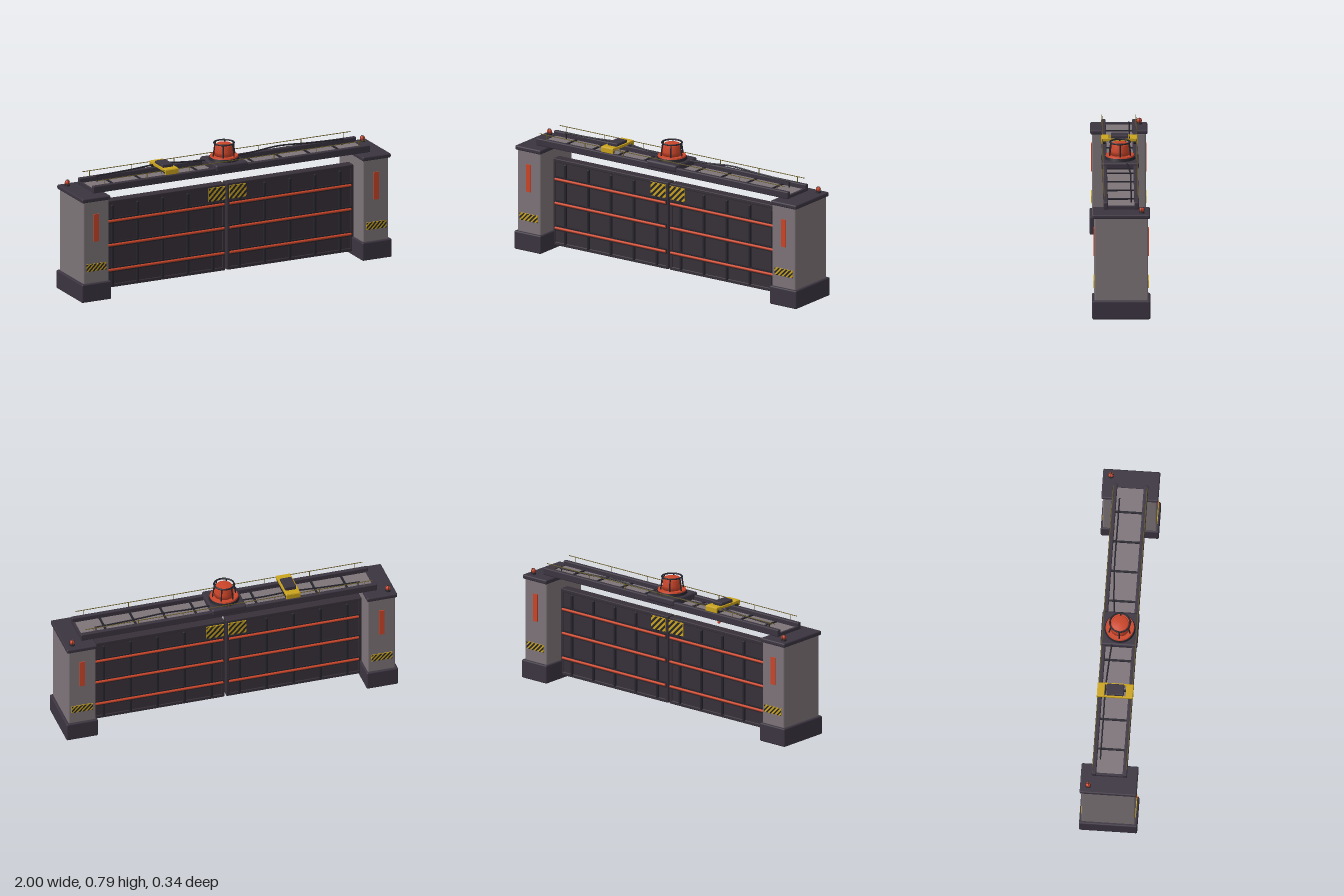
import * as THREE from 'three';
import { RoundedBoxGeometry } from 'three/addons/geometries/RoundedBoxGeometry.js';

const mat = (name, color, extra = {}) => Object.assign(new THREE.MeshStandardMaterial({ color, ...extra }), { name });
const M = {
  dark: mat('dark plum', 0x3b3440),
  panel: mat('gate plum', 0x373039),
  black: mat('trim black', 0x26242c),
  grey: mat('warm grey', 0x7d7478),
  orange: mat('signal orange', 0xcc4529),
  yellow: mat('safety yellow', 0xcba41c),
  olive: mat('rail olive', 0x6a5c24),
};

function add(parent, name, geo, material, x = 0, y = 0, z = 0) {
  const m = new THREE.Mesh(geo, material);
  m.name = name;
  m.position.set(x, y, z);
  parent.add(m);
  return m;
}
const box = (p, name, mt, w, h, d, x, y, z) => add(p, name, new THREE.BoxGeometry(w, h, d), mt, x, y, z);
const rbox = (p, name, mt, w, h, d, x, y, z, r = 0.008) => add(p, name, new RoundedBoxGeometry(w, h, d, 2, r), mt, x, y, z);
function group(parent, name) {
  const g = new THREE.Group();
  g.name = name;
  parent.add(g);
  return g;
}
// Round bar between two points
function rod(p, name, mt, a, b, r, sides = 8) {
  const A = new THREE.Vector3(...a), B = new THREE.Vector3(...b);
  const m = add(p, name, new THREE.CylinderGeometry(r, r, A.distanceTo(B), sides), mt);
  m.position.copy(A).add(B).multiplyScalar(0.5);
  m.quaternion.setFromUnitVectors(new THREE.Vector3(0, 1, 0), B.sub(A).normalize());
}

// Part of a w x h rectangle lying in the diagonal band c0 < x - y < c1
function bandShape(w, h, c0, c1) {
  const X = w / 2, Y = h / 2, pts = [];
  for (const [x, y] of [[-X, -Y], [X, -Y], [X, Y], [-X, Y]]) if (x - y > c0 && x - y < c1) pts.push([x, y]);
  for (const c of [c0, c1]) {
    for (const y of [-Y, Y]) if (Math.abs(c + y) <= X) pts.push([c + y, y]);
    for (const x of [-X, X]) if (Math.abs(x - c) <= Y) pts.push([x, x - c]);
  }
  if (pts.length < 3) return null;
  const cx = pts.reduce((s, q) => s + q[0], 0) / pts.length, cy = pts.reduce((s, q) => s + q[1], 0) / pts.length;
  pts.sort((a, b) => Math.atan2(a[1] - cy, a[0] - cx) - Math.atan2(b[1] - cy, b[0] - cx));
  return new THREE.Shape(pts.map((q) => new THREE.Vector2(...q)));
}
// Yellow plate with black diagonal stripes, facing front (side 1) or back (side -1)
function hazardPlate(p, w, h, pitch, x, y, z, side) {
  const g = group(p, 'hazardPlate');
  g.position.set(x, y, z * side);
  if (side < 0) g.rotation.y = Math.PI;
  box(g, 'plate', M.yellow, w, h, 0.006, 0, 0, 0);
  const reach = (w + h) / 2, shapes = [];
  for (let c = -reach; c < reach; c += pitch) {
    const s = bandShape(w, h, c, c + pitch * 0.5);
    if (s) shapes.push(s);
  }
  add(g, 'stripes', new THREE.ShapeGeometry(shapes), M.black, 0, 0, 0.0042);
}

function buildPillar(root, s) {
  const g = group(root, s > 0 ? 'leftPillar' : 'rightPillar');
  rbox(g, 'base', M.dark, 0.19, 0.11, 0.336, s * 0.905, 0.055, 0);
  rbox(g, 'body', M.grey, 0.165, 0.5, 0.31, s * 0.902, 0.355, 0);
  rbox(g, 'cap', M.dark, 0.182, 0.026, 0.33, s * 0.905, 0.612, 0);
  for (const side of [1, -1]) {
    box(g, 'lightStrip', M.orange, 0.032, 0.165, 0.008, s * 0.903, 0.441, side * 0.156);
    hazardPlate(g, 0.128, 0.044, 0.027, s * 0.903, 0.203, 0.156, side);
  }
  // Small warning lamp with a wire guard
  const lamp = group(g, 'warningLamp');
  lamp.position.set(s * 0.952, 0.625, -0.118);
  add(lamp, 'lampFoot', new THREE.CylinderGeometry(0.014, 0.016, 0.008, 16), M.black, 0, 0.004, 0);
  add(lamp, 'lampGlass', new THREE.SphereGeometry(0.0145, 16, 12), M.orange, 0, 0.02, 0);
  for (const a of [0, Math.PI / 2]) {
    add(lamp, 'lampGuard', new THREE.TorusGeometry(0.0148, 0.0015, 6, 24), M.black, 0, 0.02, 0).rotation.y = a;
  }
}

function buildGate(root, s) {
  const g = group(root, s > 0 ? 'leftGate' : 'rightGate');
  box(g, 'panel', M.panel, 0.805, 0.515, 0.05, s * 0.412, 0.283, 0);
  // Frame around the panel
  for (const y of [0.032, 0.535]) rbox(g, 'frameRail', M.panel, 0.815, 0.02, 0.06, s * 0.4135, y, 0, 0.004);
  for (const x of [0.015, 0.812]) rbox(g, 'framePost', M.panel, 0.018, 0.52, 0.06, s * x, 0.283, 0, 0.004);
  for (const side of [1, -1]) {
    for (const x of [0.085, 0.248, 0.41, 0.572, 0.734]) {
      rbox(g, 'rib', M.black, 0.016, 0.485, 0.016, s * x, 0.278, side * 0.028, 0.005);
    }
    for (const y of [0.13, 0.28, 0.425]) {
      box(g, 'railBacking', M.black, 0.79, 0.03, 0.01, s * 0.41, y, side * 0.031);
      rod(g, 'orangeRail', M.orange, [s * 0.018, y, side * 0.038], [s * 0.8, y, side * 0.038], 0.0075, 10);
    }
    hazardPlate(g, 0.108, 0.08, 0.036, s * 0.067, 0.495, 0.042, side);
  }
}

function buildBridge(root) {
  const g = group(root, 'bridge');
  box(g, 'deck', M.grey, 1.76, 0.008, 0.16, 0, 0.639, 0);
  for (const z of [0.089, -0.089]) {
    rbox(g, 'sideBeam', M.dark, 1.786, 0.043, 0.026, 0, 0.65, z, 0.006);
    // Thin handrail
    rod(g, 'handrail', M.olive, [-0.866, 0.702, z * 1.1], [0.866, 0.702, z * 1.1], 0.0022, 6);
    for (let i = -3; i <= 3; i++) {
      rod(g, 'handrailPost', M.olive, [i * 0.273, 0.66, z * 1.1], [i * 0.273, 0.702, z * 1.1], 0.002, 6);
    }
  }
  for (let i = -4; i <= 4; i++) box(g, 'crossBar', M.black, 0.012, 0.018, 0.16, i * 0.182, 0.64, 0);
  for (const s of [1, -1]) {
    box(g, 'endBar', M.dark, 0.014, 0.018, 0.16, s * 0.884, 0.639, 0);
    // Power cable running from the hub
    const pts = [[0.09, 0.68, -0.04], [0.22, 0.685, -0.05], [0.38, 0.695, -0.058], [0.58, 0.685, -0.058], [0.8, 0.678, -0.058]];
    const path = new THREE.CatmullRomCurve3(pts.map(([x, y, z]) => new THREE.Vector3(s * x, y, z)));
    add(g, 'cable', new THREE.TubeGeometry(path, 32, 0.005, 6), M.black);
    rod(g, 'cableClip', M.black, [s * 0.79, 0.64, -0.058], [s * 0.79, 0.68, -0.058], 0.004);
  }
}

function buildBeacon(root) {
  const g = group(root, 'beacon');
  rbox(g, 'hubBox', M.dark, 0.208, 0.042, 0.215, 0, 0.666, 0, 0.012);
  add(g, 'collar', new THREE.CylinderGeometry(0.084, 0.09, 0.018, 32), M.black, 0, 0.694, 0);
  add(g, 'flange', new THREE.CylinderGeometry(0.08, 0.083, 0.008, 32), M.orange, 0, 0.707, 0);
  const profile = [[0, 0.71], [0.057, 0.71], [0.055, 0.735], [0.05, 0.768], [0.044, 0.778], [0, 0.78]];
  add(g, 'glass', new THREE.LatheGeometry(profile.map((q) => new THREE.Vector2(...q)), 32), M.orange);
  // Protective cage
  for (let i = 0; i < 6; i++) {
    const c = Math.cos(i * Math.PI / 3), s = Math.sin(i * Math.PI / 3);
    rod(g, 'cagePost', M.black, [c * 0.07, 0.708, s * 0.07], [c * 0.059, 0.785, s * 0.059], 0.0042);
  }
  add(g, 'cageRing', new THREE.TorusGeometry(0.058, 0.005, 8, 36), M.black, 0, 0.784, 0).rotation.x = Math.PI / 2;
}

function buildTrolley(root) {
  const g = group(root, 'trolley');
  g.position.x = -0.387;
  for (const s of [1, -1]) {
    rbox(g, 'endCarriage', M.yellow, 0.086, 0.02, 0.042, 0, 0.699, s * 0.082, 0.005);
    rbox(g, 'sidePlate', M.yellow, 0.086, 0.03, 0.008, 0, 0.69, s * 0.101, 0.003);
    box(g, 'sideArm', M.yellow, 0.01, 0.014, 0.15, s * 0.038, 0.699, 0);
    for (const x of [0.028, -0.028]) {
      add(g, 'wheel', new THREE.CylinderGeometry(0.011, 0.011, 0.014, 16), M.black, x, 0.682, s * 0.088).rotation.x = Math.PI / 2;
    }
  }
  rbox(g, 'motorBox', M.dark, 0.068, 0.032, 0.1, 0, 0.706, 0, 0.005);
  // Hoist line with its weight
  rod(g, 'hoistLine', M.black, [0, 0.6, -0.035], [0, 0.7, -0.035], 0.002, 6);
  add(g, 'hoistWeight', new THREE.SphereGeometry(0.009, 12, 10), M.orange, 0, 0.597, -0.035);
}

export function createModel() {
  const root = new THREE.Group();
  root.name = 'gateway';
  for (const s of [1, -1]) {
    buildPillar(root, s);
    buildGate(root, s);
  }
  buildBridge(root);
  buildBeacon(root);
  buildTrolley(root);
  return root;
}
